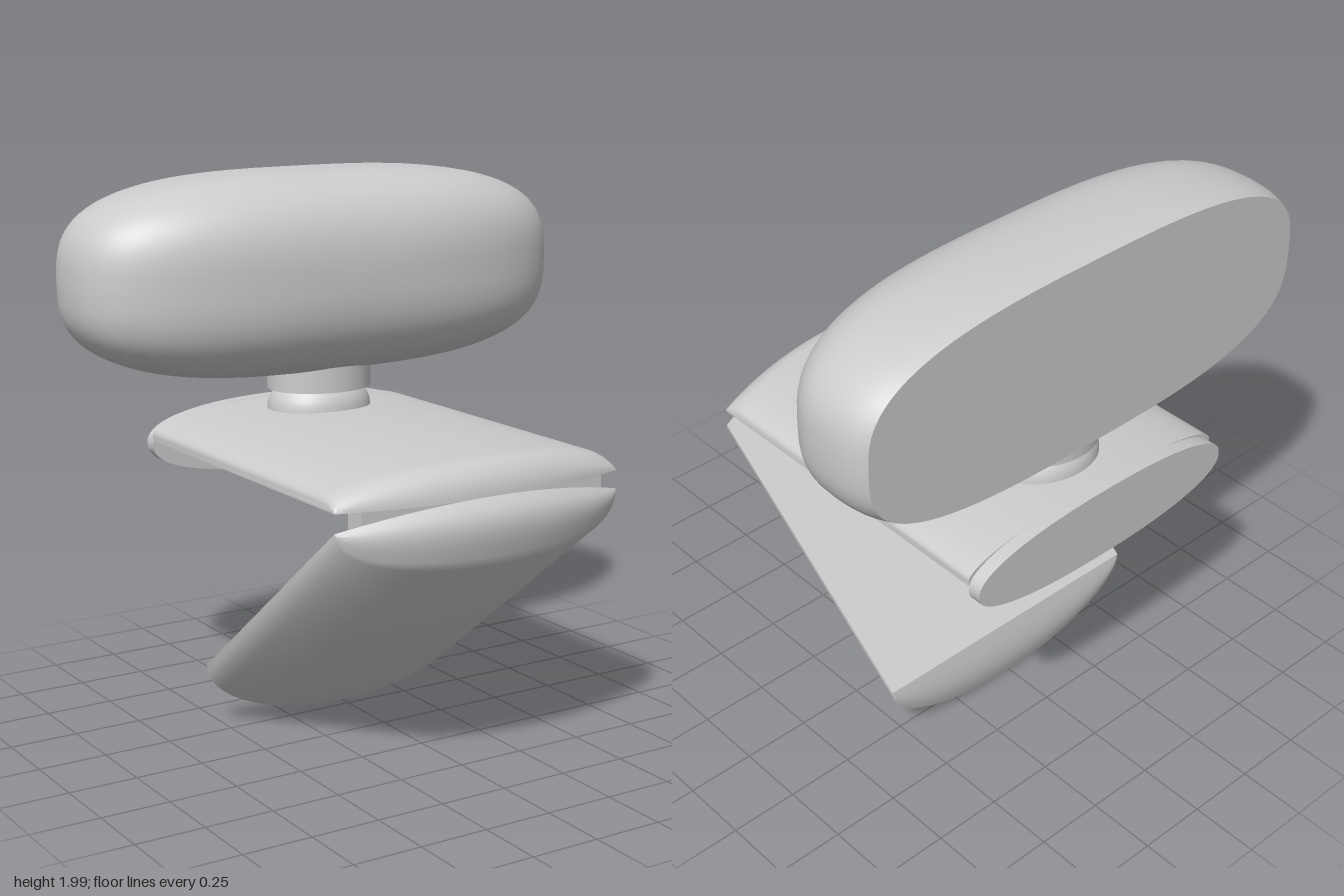
import * as THREE from 'three';
import { toCreasedNormals } from 'three/addons/utils/BufferGeometryUtils.js';

const material = new THREE.MeshStandardMaterial({ color: 0xcccccc });
const power = (v, e) => Math.sign(v) * Math.pow(Math.abs(v), e);

// Moves every vertex of a geometry by a rule, then smooths all but the sharp edges
function warp(geometry, rule) {
  const p = geometry.attributes.position;
  for (let i = 0; i < p.count; i++) p.setXYZ(i, ...rule(p.getX(i), p.getY(i), p.getZ(i)));
  return toCreasedNormals(geometry, 0.6);
}

export function createModel() {
  const group = new THREE.Group();
  const add = (name, geometry, x = 0, y = 0, z = 0) => {
    const mesh = new THREE.Mesh(geometry, material);
    mesh.name = name;
    mesh.position.set(x, y, z);
    group.add(mesh);
    return mesh;
  };

  // Camera body: pillow with a superellipse outline, domed front and flat back
  const profile = [new THREE.Vector2(0, -0.18)];
  const N = 2.6;
  for (let i = 0; i <= 5; i++) {
    const z = -0.18 + 0.18 * i / 5;
    profile.push(new THREE.Vector2(Math.pow(1 - Math.pow(-z / 0.45, N), 1 / N), z));
  }
  for (let i = 1; i <= 20; i++) {
    const a = i / 20 * Math.PI / 2;
    profile.push(new THREE.Vector2(i === 20 ? 0 : Math.pow(Math.cos(a), 2 / N), 0.38 * Math.pow(Math.sin(a), 2 / N)));
  }
  const body = new THREE.LatheGeometry(profile, 80).rotateX(Math.PI / 2);
  add('cameraBody', warp(body, (x, y, z) => {
    const r = Math.hypot(x, y) || 1e-9;
    return [0.98 * r * power(x / r, 2 / 3), 0.37 * r * power(y / r, 2 / 3), z];
  }), 0, 1.63, -0.48);

  // Oval neck above a rounded swivel
  add('neck', new THREE.CylinderGeometry(0.2, 0.2, 0.16, 48), 0, 1.275, -0.45).scale.z = 0.85;
  const swivel = [[0, 0], [0.2, 0], [0.198, 0.02], [0.19, 0.042], [0.178, 0.06], [0.16, 0.077], [0, 0.077]];
  add('swivel', toCreasedNormals(new THREE.LatheGeometry(swivel.map(p => new THREE.Vector2(...p)), 48), 0.6),
    0, 1.12, -0.45).scale.z = 0.83;

  // Arm and leg share a half-oval section and a bowed front end
  const halfWidth = 0.57;
  const across = x => Math.sin(x * Math.PI / 2);
  const arch = x => Math.max(0, Math.cos(x * Math.PI / 2));
  const bowedEnd = x => 0.6 + 0.09 * arch(x) ** 2;

  // Arm: flat below, arched above, front edge rounded over
  add('arm', warp(new THREE.BoxGeometry(2, 1, 1, 40, 10, 1), (x, y, z) => {
    const d = Math.sin((y + 0.5) * Math.PI / 2);
    const front = bowedEnd(x) - 0.1 * (1 - Math.sqrt(Math.max(0, 1 - d * d)));
    return [halfWidth * across(x), 1.005 + d * (0.02 + 0.1 * arch(x)), z > 0 ? front : -0.69];
  }));

  // Rear lip: thin oval plate hanging behind the arm
  const oval = new THREE.Shape();
  for (let i = 0; i < 64; i++) {
    const a = i / 64 * Math.PI * 2;
    const x = 0.57 * power(Math.cos(a), 0.87), y = 0.138 * power(Math.sin(a), 0.87);
    if (i) oval.lineTo(x, y); else oval.moveTo(x, y);
  }
  oval.closePath();
  add('rearLip', toCreasedNormals(new THREE.ExtrudeGeometry(oval, { depth: 0.05, bevelEnabled: false }), 0.6),
    0, 0.987, -0.74);

  // Hinge bar between arm and leg
  add('hingeBar', new THREE.BoxGeometry(0.97, 0.11, 0.08), 0, 0.953, 0.585);

  // Sloping leg: flat above, arched below, both ends gently bulged
  add('leg', warp(new THREE.BoxGeometry(2, 1, 1, 40, 10, 1), (x, y, z) => {
    const d = 0.5 - y, a = arch(x), bulge = Math.sin(Math.PI * d) * a;
    const zz = z > 0 ? bowedEnd(x) + 0.04 * bulge + 0.015 * d * a : -0.295 - 0.02 * bulge;
    return [halfWidth * across(x), 1.01 + (zz - 0.69) * 0.772 - 0.242 * d * a, zz];
  }));

  return group;
}
